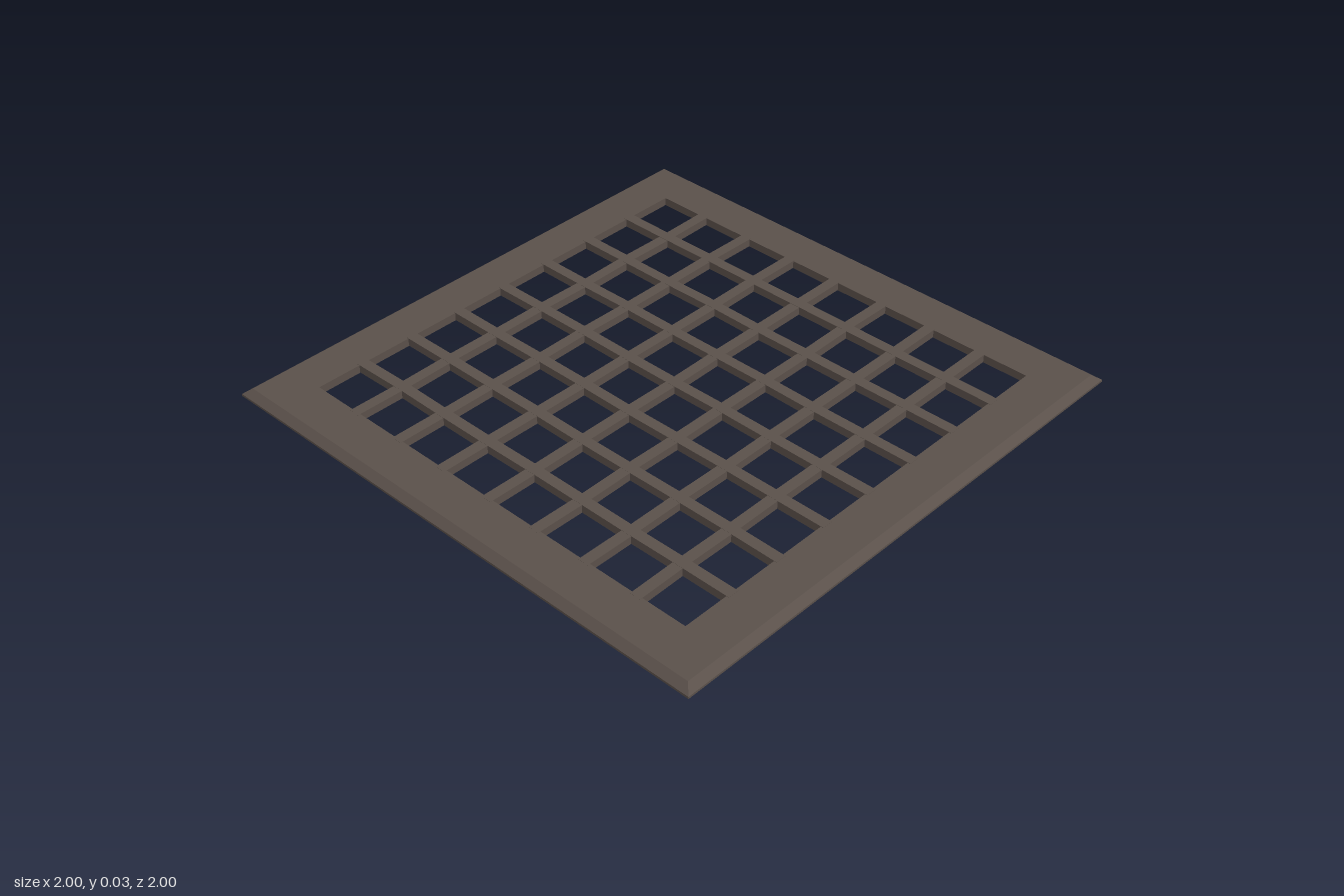
import * as THREE from 'three';

export function createModel() {
  const model = new THREE.Group();
  model.name = 'floorGrate';
  const iron = new THREE.MeshStandardMaterial({ color: 0x5a504a });
  iron.name = 'dark iron';

  const inner = 0.82, top = 0.03;

  // Square frame: a bevelled cross-section turned in four segments
  const section = [
    [inner, 0], [1, 0], [1, 0.008], [0.973, top], [inner, top], [inner, 0],
  ].map(([r, y]) => new THREE.Vector2(r * Math.SQRT2, y));
  const frameGeometry = new THREE.LatheGeometry(section, 4).rotateY(Math.PI / 4).toNonIndexed();
  frameGeometry.computeVertexNormals();
  const frame = new THREE.Mesh(frameGeometry, iron);
  frame.name = 'frame';
  model.add(frame);

  // Seeded wobble for the slightly uneven bars
  let seed = 7;
  const wobble = (amount) => {
    seed = (seed * 16807) % 2147483647;
    return (seed / 2147483647 - 0.5) * 2 * amount;
  };

  // Seven bars each way, their ends sunk into the frame
  const count = 7, pitch = 0.21, width = 0.04;
  function addBars(name, angle, height) {
    const bars = new THREE.Group();
    bars.name = name;
    for (let i = 0; i < count; i++) {
      const geometry = new THREE.BoxGeometry(width, height, inner * 2 + 0.02, 1, 1, 8);
      const p = geometry.attributes.position;
      const shifts = Array.from({ length: 9 }, () => wobble(0.002));
      for (let v = 0; v < p.count; v++) {
        const k = Math.round((p.getZ(v) / (inner * 2 + 0.02) + 0.5) * 8);
        p.setX(v, p.getX(v) + shifts[k]);
      }
      geometry.computeVertexNormals();
      const bar = new THREE.Mesh(geometry, iron);
      bar.name = 'bar';
      bar.position.set((i - (count - 1) / 2) * pitch, 0.001 + height / 2, 0);
      bars.add(bar);
    }
    bars.rotation.y = angle;
    model.add(bars);
  }
  addBars('lengthwiseBars', 0, 0.03);
  addBars('crosswiseBars', Math.PI / 2, 0.0295);

  return model;
}
